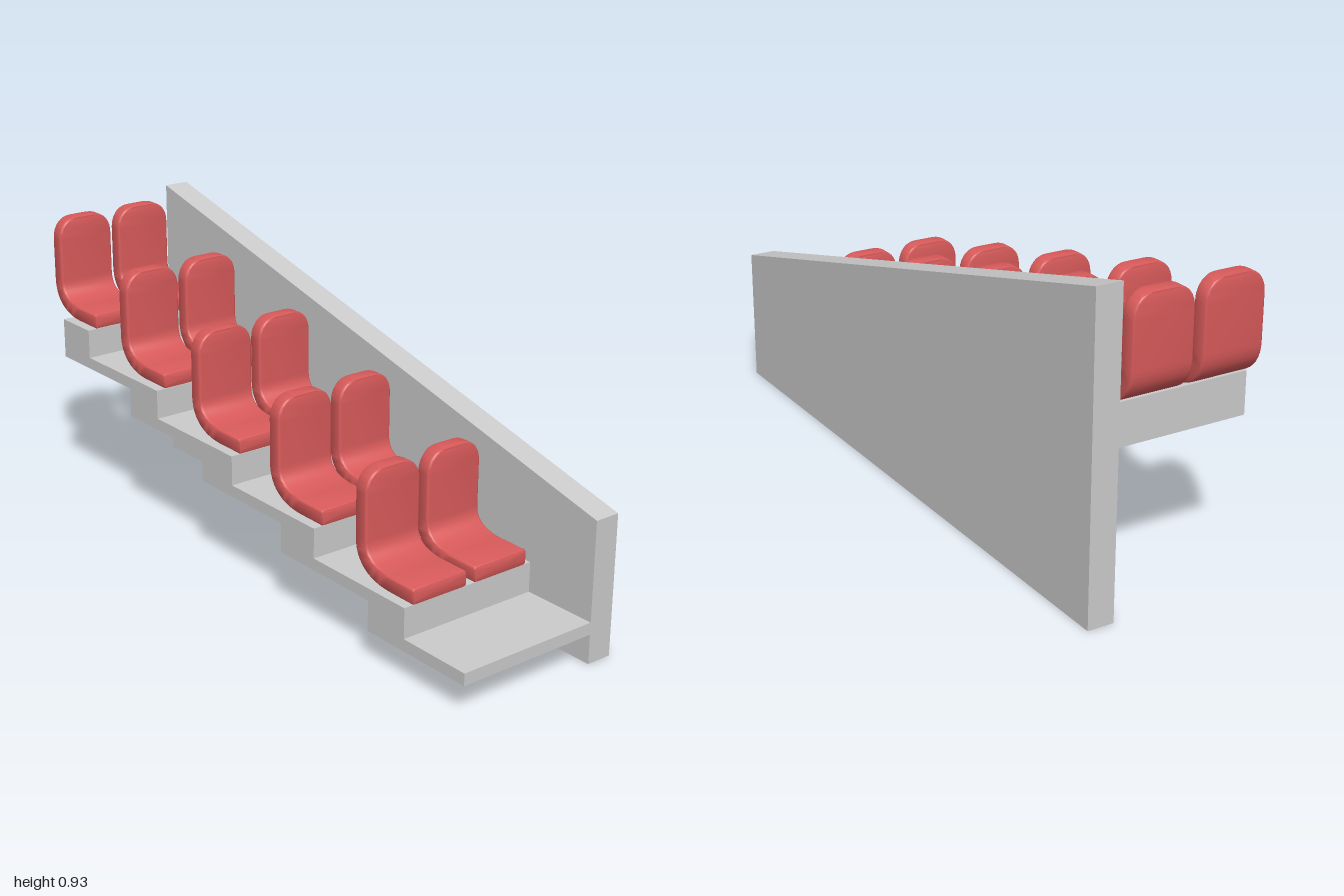
import * as THREE from 'three';
import { toCreasedNormals } from 'three/addons/utils/BufferGeometryUtils.js';

const ROWS = 5, RUN = 0.3825, RISE = 0.09;

function extrudeZ(points, z0, z1) {
  const shape = new THREE.Shape(points.map(([x, y]) => new THREE.Vector2(x, y)));
  const geo = new THREE.ExtrudeGeometry(shape, { depth: z1 - z0, bevelEnabled: false });
  return geo.translate(0, 0, z0);
}

// Rounded-rectangle section, a = thickness direction, b = width direction
function section(h, w, r) {
  const pts = [];
  [[1, 1], [-1, 1], [-1, -1], [1, -1]].forEach(([sa, sb], q) => {
    for (let i = 0; i <= 4; i++) {
      const t = (q + i / 4) * Math.PI / 2;
      pts.push([sa * (h - r) + r * Math.cos(t), sb * (w - r) + r * Math.sin(t)]);
    }
  });
  return pts;
}

// One bent seat shell: section swept from the top of the back to the front lip
function seatGeometry() {
  const W = 0.095, H = 0.0235, TOP = 0.313, stations = [];
  const add = (x, y, tx, ty, w = W, h = H) => {
    const l = Math.hypot(tx, ty);
    stations.push({ x, y, tx: tx / l, ty: ty / l, w, h });
  };
  // rounded upper corners of the back
  const rx = 0.055, ry = 0.065;
  for (let i = 0; i <= 10; i++) {
    const t = i / 10 * Math.PI / 2;
    const w = W - rx * (1 - Math.sin(t));
    if (i === 0) add(0.024, TOP, 0, -1, w - 0.004, H - 0.005);
    add(0.024, TOP - 0.002 - ry * (1 - Math.cos(t)), 0, -1, w);
  }
  // bend into the cushion
  const bend = new THREE.QuadraticBezierCurve(
    new THREE.Vector2(0.024, 0.112), new THREE.Vector2(0.024, 0.029), new THREE.Vector2(0.14, 0.024));
  for (let i = 0; i <= 12; i++) {
    const p = bend.getPoint(i / 12), t = bend.getTangent(i / 12);
    add(p.x, p.y, t.x, t.y);
  }
  // front lip
  add(0.236, 0.0235, 1, 0);
  add(0.241, 0.0235, 1, 0, W - 0.002, H - 0.002);
  add(0.243, 0.0235, 1, 0, W - 0.006, H - 0.006);

  const pos = [], index = [];
  let n = 0;
  for (const s of stations) {
    const ring = section(s.h, s.w, 0.008);
    n = ring.length;
    for (const [a, b] of ring) pos.push(s.x - s.ty * a, s.y + s.tx * a, b);
  }
  const last = (stations.length - 1) * n, c0 = last + n;
  for (const s of [stations[0], stations[stations.length - 1]]) pos.push(s.x, s.y, 0);
  for (let j = 0; j < n; j++) {
    const k = (j + 1) % n;
    for (let s = 0; s < last; s += n) {
      index.push(s + j, s + k, s + n + j, s + k, s + n + k, s + n + j);
    }
    index.push(c0, k, j, c0 + 1, last + j, last + k);
  }
  const geo = new THREE.BufferGeometry();
  geo.setAttribute('position', new THREE.Float32BufferAttribute(pos, 3));
  geo.setIndex(index);
  return toCreasedNormals(geo, 0.6);
}

export function createModel() {
  const model = new THREE.Group();
  model.name = 'tieredSeating';
  const grey = new THREE.MeshStandardMaterial({ color: 0xcccccc });
  const red = new THREE.MeshStandardMaterial({ color: 0xd85a5a });
  const addMesh = (name, geo, mat, parent = model) => {
    const mesh = new THREE.Mesh(geo, mat);
    mesh.name = name;
    parent.add(mesh);
    return mesh;
  };

  // Sloping side wall
  addMesh('sideWall', extrudeZ([[-0.99, 0], [1, 0], [1, 0.422], [-0.99, 0.93]], -0.267, -0.187), grey);

  // Stepped deck: treads above, matching steps underneath
  const top = [[-0.915, 0.575]], under = [[-0.915, 0.449]];
  for (let i = 0; i < ROWS; i++) {
    const x = -0.765 + i * RUN, y = 0.575 - i * RISE;
    top.push([x, y], [x, y - RISE]);
    const ux = -0.915 + (i + 1) * 0.383, uy = 0.449 - i * RISE;
    if (i < ROWS - 1) under.push([ux, uy], [ux, uy - RISE]);
    else under.push([1, uy]);
  }
  top.push([1, 0.125]);
  addMesh('steppedDeck', extrudeZ([...under, ...top.reverse()], -0.187, 0.268), grey);

  // Two seats on every step
  const seatGeo = seatGeometry();
  for (let i = 0; i < ROWS; i++) {
    const row = new THREE.Group();
    row.name = 'seatRow' + (i + 1);
    row.position.set(-1 + i * RUN, 0.577 - i * RISE, 0);
    for (const z of [0.15, -0.068]) addMesh('seat', seatGeo, red, row).position.z = z;
    model.add(row);
  }
  return model;
}
